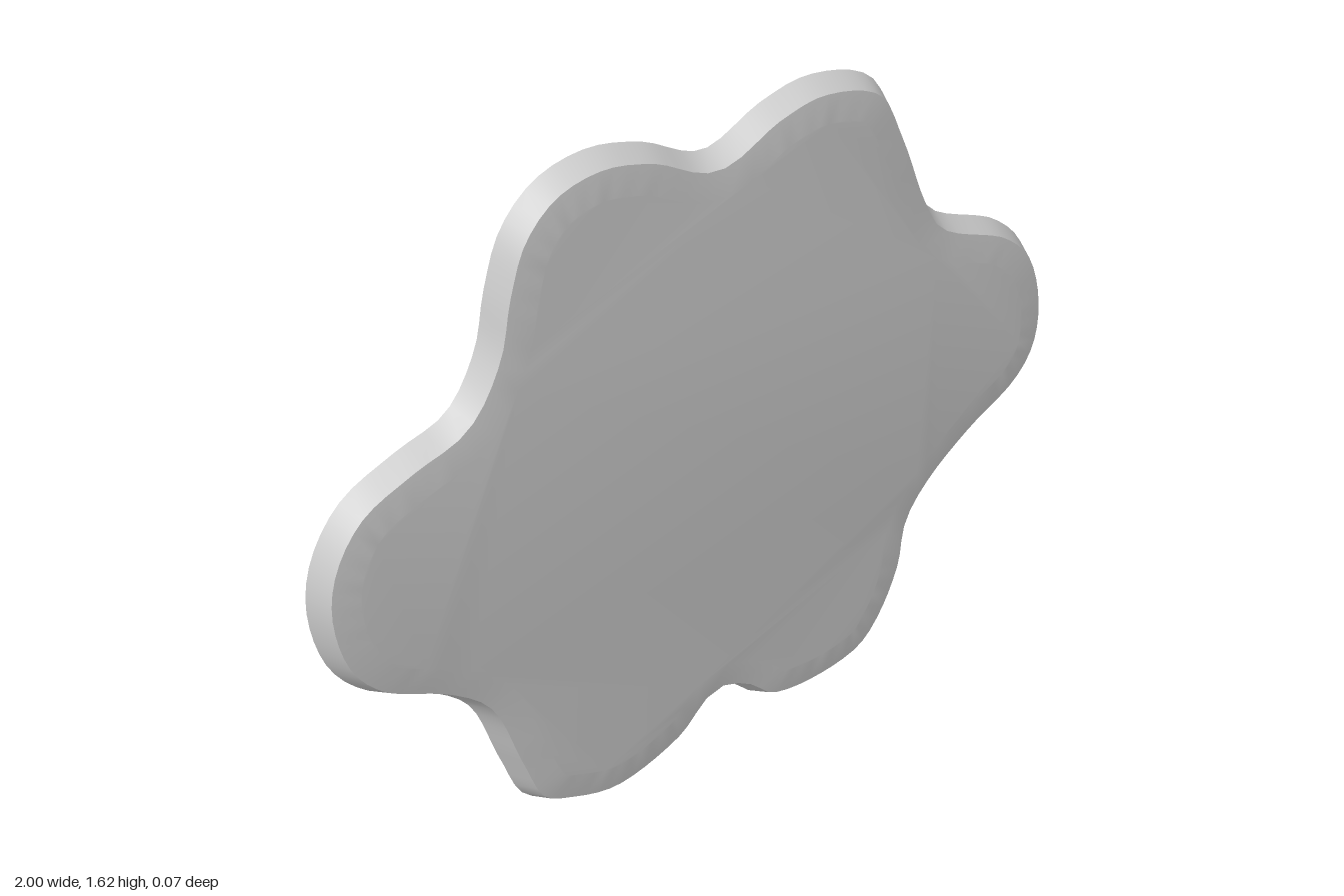
import * as THREE from 'three';
import { toCreasedNormals } from 'three/addons/utils/BufferGeometryUtils.js';

// Six-lobed outline, clockwise from the right-hand lobe
const OUTLINE = [
  [0.995, 0.83], [0.98, 0.71], [0.92, 0.63], [0.78, 0.55], [0.66, 0.46], [0.6, 0.38], [0.58, 0.26],
  [0.52, 0.13], [0.45, 0.06], [0.29, 0.03], [0.16, 0.05], [0.09, 0.11], [0.01, 0.14], [-0.09, 0.06],
  [-0.28, 0.005], [-0.42, 0.04], [-0.5, 0.085], [-0.56, 0.22], [-0.63, 0.4], [-0.72, 0.48],
  [-0.885, 0.57], [-0.965, 0.67], [-1, 0.83], [-0.975, 0.95], [-0.9, 1.05], [-0.77, 1.11],
  [-0.645, 1.155], [-0.57, 1.27], [-0.54, 1.4], [-0.495, 1.52], [-0.41, 1.6], [-0.286, 1.628],
  [-0.15, 1.6], [0.01, 1.53], [0.16, 1.59], [0.29, 1.613], [0.46, 1.56], [0.54, 1.42],
  [0.61, 1.25], [0.66, 1.17], [0.86, 1.075], [0.95, 0.985],
];

// Edge section from back to front: [inset from the outline, z]
const SECTION = [[0.05, -0.036], [0.008, -0.034], [0, -0.028], [0.026, 0.028], [0.09, 0.037]];

function createPlateGeometry() {
  const n = 160;
  const curve = new THREE.CatmullRomCurve3(
    OUTLINE.map(([x, y]) => new THREE.Vector3(x, y, 0)).reverse(), true, 'centripetal');
  const rim = curve.getSpacedPoints(n).slice(0, n);

  // Rings of the edge, each moved inward along the outline's normal
  const positions = [];
  for (const [inset, z] of SECTION) {
    rim.forEach((p, i) => {
      const t = rim[(i + 1) % n].clone().sub(rim[(i + n - 1) % n]).normalize();
      positions.push(p.x - t.y * inset, p.y + t.x * inset, z);
    });
  }

  const index = [];
  for (let r = 0; r < SECTION.length - 1; r++) {
    for (let i = 0; i < n; i++) {
      const a = r * n + i, b = r * n + (i + 1) % n;
      index.push(a, b, b + n, a, b + n, a + n);
    }
  }

  // Flat back and front faces
  const ring = (r) => rim.map((_, i) => new THREE.Vector2(positions[(r * n + i) * 3], positions[(r * n + i) * 3 + 1]));
  const last = SECTION.length - 1;
  for (const [a, b, c] of THREE.ShapeUtils.triangulateShape(ring(0), [])) index.push(a, c, b);
  for (const [a, b, c] of THREE.ShapeUtils.triangulateShape(ring(last), [])) {
    index.push(a + last * n, b + last * n, c + last * n);
  }

  const geometry = new THREE.BufferGeometry();
  geometry.setAttribute('position', new THREE.Float32BufferAttribute(positions, 3));
  geometry.setIndex(index);
  return toCreasedNormals(geometry, 0.7);
}

export function createModel() {
  const group = new THREE.Group();
  group.name = 'lobedPlate';
  const plate = new THREE.Mesh(createPlateGeometry(), new THREE.MeshStandardMaterial({ color: 0xcccccc }));
  plate.name = 'plate';
  group.add(plate);
  return group;
}
